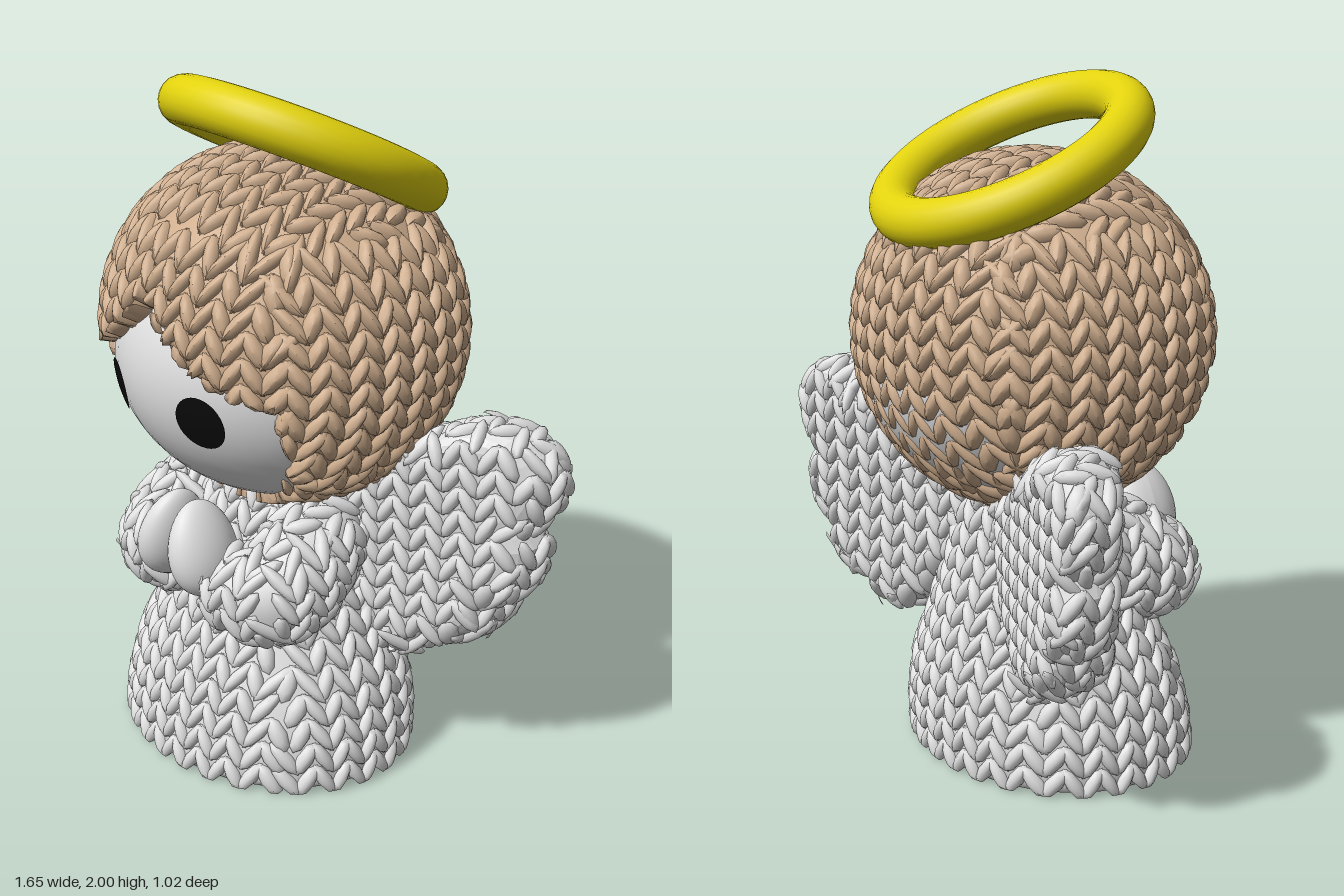
import * as THREE from 'three';
import { mergeGeometries } from 'three/addons/utils/BufferGeometryUtils.js';

const V = (x, y, z) => new THREE.Vector3(x, y, z);
const material = (name, color) => {
  const m = new THREE.MeshStandardMaterial({ color });
  m.name = name;
  return m;
};

// Move every vertex of a geometry by a rule, then refresh its normals
function reshape(geometry, rule) {
  const pos = geometry.attributes.position;
  const p = V(0, 0, 0);
  for (let i = 0; i < pos.count; i++) {
    rule(p.fromBufferAttribute(pos, i), i);
    pos.setXYZ(i, p.x, p.y, p.z);
  }
  geometry.computeVertexNormals();
  return geometry;
}

function addMesh(parent, name, geometry, mat) {
  const mesh = new THREE.Mesh(geometry, mat);
  mesh.name = name;
  parent.add(mesh);
  return mesh;
}

// Knit pattern: V-shaped columns projected on a surface from each axis direction
const COLUMN = 0.092, ROW = 0.07, RISE = 0.085;
const SIDES = [
  [V(0, 0, 1), V(0, 1, 0)], [V(0, 0, -1), V(0, 1, 0)],
  [V(1, 0, 0), V(0, 1, 0)], [V(-1, 0, 0), V(0, 1, 0)],
  [V(0, 1, 0), V(0, 0, -1)], [V(0, -1, 0), V(0, 0, 1)],
];
const LEAF = new THREE.SphereGeometry(1, 8, 3, 0, Math.PI * 2, 0, Math.PI / 2);

function knitStitches(base, accept = () => true, sides = SIDES) {
  const ray = new THREE.Raycaster();
  const leaves = [];
  base.updateMatrixWorld();
  for (const [dir, up] of sides) {
    const right = up.clone().cross(dir);
    // Follow the surface while keeping the projected pattern undistorted
    const drape = (e, n) => e.clone().addScaledVector(dir, -e.dot(n) / dir.dot(n));
    for (let i = -20; i < 20; i++) {
      for (let j = -14; j < 28; j++) {
        const origin = dir.clone().multiplyScalar(4)
          .addScaledVector(right, (i + 0.5) * COLUMN / 2)
          .addScaledVector(up, (j + 0.5) * ROW);
        ray.set(origin, dir.clone().negate());
        const hit = ray.intersectObject(base)[0];
        if (!hit || !accept(hit.point)) continue;
        const n = hit.face.normal.clone();
        if (dir.dot(n) < Math.max(Math.abs(n.x), Math.abs(n.y), Math.abs(n.z)) - 0.03) continue;
        const along = right.clone().multiplyScalar(i & 1 ? -COLUMN / 2 : COLUMN / 2)
          .addScaledVector(up, RISE).normalize();
        const across = along.clone().cross(dir);
        const m = new THREE.Matrix4().makeBasis(
          drape(along, n).multiplyScalar(0.058),
          n.clone().multiplyScalar(0.026),
          drape(across, n).multiplyScalar(0.0205));
        m.setPosition(hit.point.addScaledVector(n, -0.003));
        leaves.push(LEAF.clone().applyMatrix4(m));
      }
    }
  }
  const merged = mergeGeometries(leaves);
  const pos = merged.attributes.position;
  for (let i = 0; i < pos.count; i++) pos.setY(i, Math.max(0, pos.getY(i)));
  return merged;
}

function addKnit(parent, name, geometry, mat, accept, sides) {
  const group = new THREE.Group();
  group.name = name;
  const base = addMesh(group, name + 'Base', geometry, mat);
  addMesh(group, name + 'Stitches', knitStitches(base, accept, sides), mat);
  parent.add(group);
  return group;
}

// Face opening in the hair: positive inside, pointed at the parting
function openingDepth(p) {
  if (p.z <= 0) return -1;
  const ax = Math.abs(p.x);
  const fringe = 1.2 + 0.26 * Math.pow(Math.max(0, 1 - ax / 0.42), 1.8);
  const cheeks = (1 - Math.hypot(ax / 0.4, Math.min(0, p.y - 1.12) / 0.33)) * 0.35;
  return Math.min(fringe - p.y, cheeks);
}

// Hair ball, a little fuller at the front
const HAIR_CENTRE = V(0, 1.275, 0);
function hairGeometry() {
  return reshape(new THREE.SphereGeometry(1, 80, 52), (p) => {
    p.multiply(V(0.535, 0.505, p.z > 0 ? 0.505 : 0.49)).add(HAIR_CENTRE);
  });
}

// Sink the hair behind the face wherever the opening is
function sinkHair(p) {
  const sink = 1 - 0.2 * THREE.MathUtils.smoothstep(openingDepth(p), 0, 0.03);
  p.sub(HAIR_CENTRE).multiplyScalar(sink).add(HAIR_CENTRE);
}

// Bell-shaped gown, oval in plan and leaning back towards the neck
function gownGeometry() {
  const profile = [[0, 0], [0.95, 0], [1, 0.03], [0.99, 0.12], [0.93, 0.25], [0.79, 0.4],
    [0.66, 0.55], [0.55, 0.7], [0.4, 0.87], [0, 0.88]].map(([r, y]) => new THREE.Vector2(r, y));
  return reshape(new THREE.LatheGeometry(profile, 64), (p) => {
    p.x *= 0.475;
    p.z = p.z * 0.39 + 0.07 * (1 - p.y / 0.88);
  });
}

// Bent sleeve: a tube whose rings swell at the elbow and close at both ends
function sleeveGeometry(s) {
  const rings = 28, around = 20;
  const curve = new THREE.CatmullRomCurve3([
    V(0.2 * s, 0.75, -0.05), V(0.25 * s, 0.68, 0.1), V(0.255 * s, 0.58, 0.24), V(0.07 * s, 0.59, 0.34)]);
  return reshape(new THREE.TubeGeometry(curve, rings, 1, around), (p, i) => {
    const t = Math.floor(i / (around + 1)) / rings;
    const r = (0.11 + 0.03 * Math.sin(Math.PI * t)) * Math.sqrt(1 - Math.abs(2 * t - 1) ** 6);
    const c = curve.getPointAt(t);
    p.sub(c).multiplyScalar(r).add(c);
  });
}

// Puffy wing with three feather lobes, swept backwards and thicker towards the body
function wingGeometry(s) {
  const outline = [[0.1, 0.8], [0.3, 0.87], [0.48, 0.98], [0.6, 1.03], [0.7, 1.02], [0.75, 0.95],
    [0.72, 0.86], [0.67, 0.8], [0.71, 0.73], [0.67, 0.63], [0.6, 0.58], [0.6, 0.51],
    [0.54, 0.47], [0.47, 0.46], [0.43, 0.41], [0.35, 0.42], [0.2, 0.58], [0.1, 0.7], [0.1, 0.8]]
    .map(([x, y]) => new THREE.Vector2(x * s, y));
  const shape = new THREE.Shape();
  shape.moveTo(outline[0].x, outline[0].y);
  shape.splineThru(outline.slice(1));
  const geo = new THREE.ExtrudeGeometry(shape, {
    depth: 0.04, bevelThickness: 0.055, bevelSize: 0.05, bevelSegments: 4, curveSegments: 3 });
  return reshape(geo, (p) => {
    const x = Math.abs(p.x);
    const thickness = THREE.MathUtils.clamp(0.9 + (0.8 - x) * 2.4, 0.9, 1.5);
    p.z = (p.z - 0.02) * thickness - 0.025 - 0.355 * x;
  });
}

const FACE = { y: 1.2, rx: 0.5, ry: 0.42, rz: 0.487 };

// Thin oval eye that follows the curve of the face
function eyeGeometry(s) {
  return reshape(new THREE.RingGeometry(0, 1, 32, 4), (p) => {
    p.x = 0.19 * s + p.x * 0.07;
    p.y = 1.13 + p.y * 0.077;
    p.z = FACE.rz * Math.sqrt(1 - (p.x / FACE.rx) ** 2 - ((p.y - FACE.y) / FACE.ry) ** 2) + 0.006;
  });
}

// Pear-shaped hand, narrower at the fingertips
function handGeometry() {
  return reshape(new THREE.SphereGeometry(1, 28, 20), (p) => {
    const taper = 1 - 0.25 * p.y;
    p.set(p.x * 0.074 * taper, p.y * 0.142, p.z * 0.11 * (1 - 0.1 * p.y));
  });
}

export function createModel() {
  const white = material('white', 0xe0e0e0);
  const tan = material('tan hair', 0xcfae8e);
  const gold = material('gold', 0xe2d20e);
  const black = material('black', 0x0a0a0a);
  const model = new THREE.Group();
  model.name = 'knittedAngel';

  // Head
  const face = new THREE.SphereGeometry(1, 48, 32).scale(FACE.rx, FACE.ry, FACE.rz).translate(0, FACE.y, 0);
  addMesh(model, 'face', face, white);
  const hair = addKnit(model, 'hair', hairGeometry(), tan, (p) => openingDepth(p) < 0.025);
  hair.children.forEach((mesh) => reshape(mesh.geometry, sinkHair));

  // Gown
  addKnit(model, 'gown', gownGeometry(), white, (p) => p.y > 0.03, SIDES.slice(0, 4));

  // Paired parts
  for (const [side, s] of [['left', 1], ['right', -1]]) {
    addMesh(model, side + 'Eye', eyeGeometry(s), black);
    addKnit(model, side + 'Sleeve', sleeveGeometry(s), white);
    addKnit(model, side + 'Wing', wingGeometry(s), white);
    const hand = addMesh(model, side + 'Hand', handGeometry(), white);
    hand.position.set(0.073 * s, 0.687, 0.36);
    hand.rotation.z = 0.24 * s;
  }

  // Tilted halo
  const halo = addMesh(model, 'halo', new THREE.TorusGeometry(0.355, 0.07, 20, 72), gold);
  halo.position.set(0, 1.775, -0.065);
  halo.rotation.x = Math.PI / 2 - 0.455;

  return model;
}
